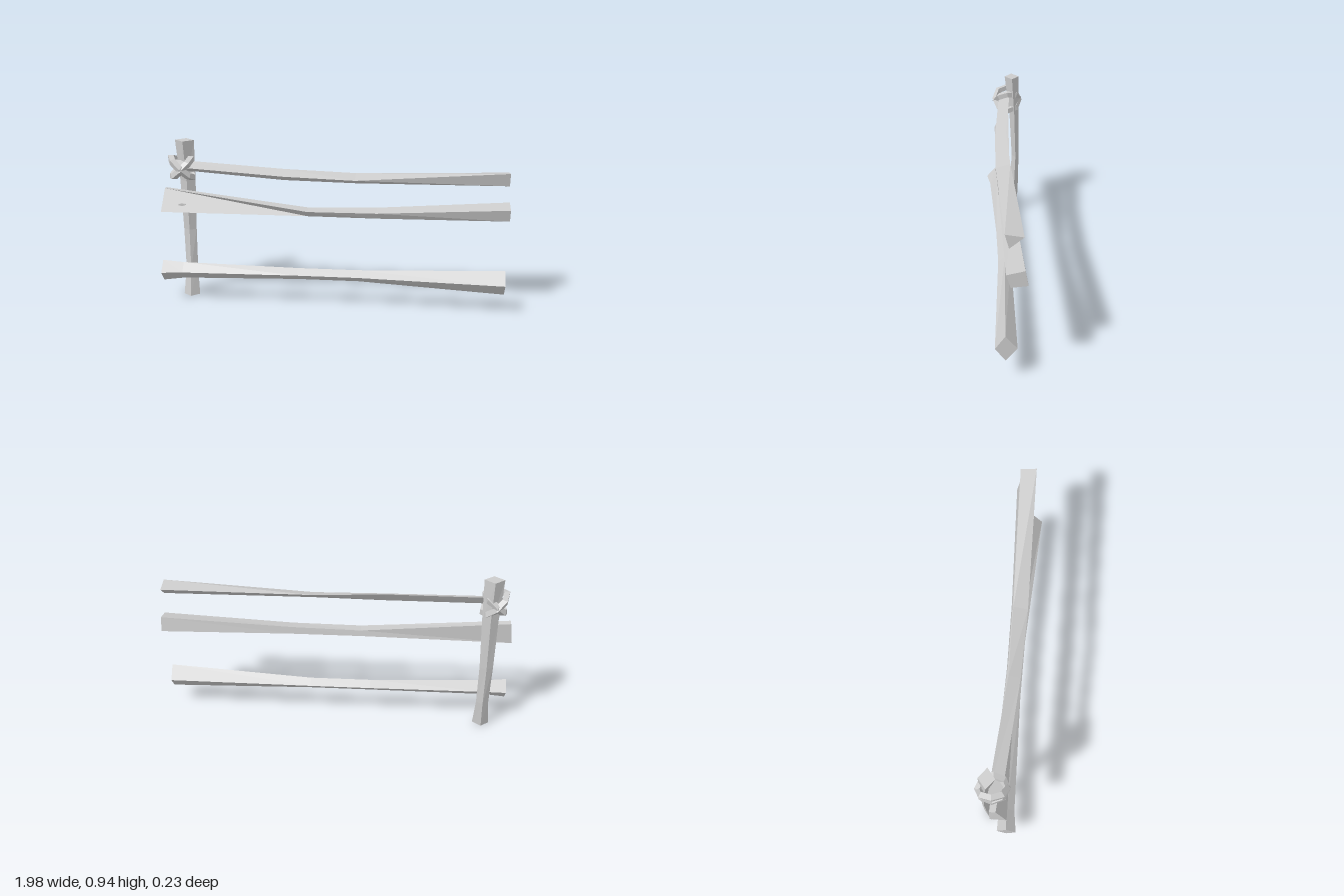
import * as THREE from 'three';

const material = new THREE.MeshStandardMaterial({ color: 0xcccccc, flatShading: true });

// Skin a row of equal-sided cross-sections (each a list of [x, y, z]) and cap both ends
function loft(name, sections) {
  const n = sections[0].length, index = [];
  for (let i = 0; i < sections.length - 1; i++) {
    for (let j = 0; j < n; j++) {
      const a = i * n + j, b = i * n + (j + 1) % n;
      index.push(a, b, b + n, a, b + n, a + n);
    }
  }
  const last = (sections.length - 1) * n;
  for (let j = 1; j < n - 1; j++) {
    index.push(0, j + 1, j);
    index.push(last, last + j, last + j + 1);
  }
  const geometry = new THREE.BufferGeometry();
  geometry.setAttribute('position', new THREE.Float32BufferAttribute(sections.flat(2), 3));
  geometry.setIndex(index);
  geometry.computeVertexNormals();
  const mesh = new THREE.Mesh(geometry, material);
  mesh.name = name;
  return mesh;
}

// A rail runs along x; each station is [x, [y, z], ...] from front top, under, to back
const rail = (name, stations) =>
  loft(name, stations.map(([x, ...corners]) => corners.map(([y, z]) => [x, y, z])));

export function createModel() {
  const group = new THREE.Group();
  group.name = 'brokenFence';

  // Crooked post, square set cornerwise: [y, left x, right x, front z, back z]
  const post = [
    [0, -0.90, -0.805, 0.005, -0.075],
    [0.16, -0.885, -0.815, -0.03, -0.085],
    [0.4, -0.89, -0.815, -0.045, -0.09],
    [0.7, -0.895, -0.805, -0.03, -0.088],
    [0.94, -0.91, -0.80, 0, -0.088],
  ];
  group.add(loft('post', post.map(([y, l, r, f, b]) => {
    const cx = (l + r) / 2, cz = (f + b) / 2;
    return [[l, y, cz], [cx, y, f], [r, y, cz], [cx, y, b]];
  })));

  // Three-sided top rail
  group.add(rail('topRail', [
    [-0.91, [0.80, 0.035], [0.775, -0.005], [0.825, -0.035]],
    [-0.27, [0.772, 0.08], [0.745, 0.05], [0.80, 0.015]],
    [0.13, [0.762, 0.088], [0.742, 0.065], [0.785, 0.008]],
    [0.977, [0.82, 0.072], [0.745, 0.052], [0.803, -0.02]],
  ]));

  // Middle rail, wide at one end
  const middle = rail('middleRail', [
    [-0.98, [0.665, 0.007], [0.54, 0.065], [0.54, -0.025], [0.662, -0.027]],
    [-0.14, [0.567, 0.068], [0.535, 0.045], [0.54, -0.005], [0.573, 0.0]],
    [0.25, [0.57, 0.07], [0.535, 0.05], [0.543, -0.01], [0.583, -0.004]],
    [0.99, [0.61, 0.067], [0.54, 0.045], [0.548, -0.04], [0.63, -0.025]],
  ]);
  // Slant the wide end
  const p = middle.geometry.attributes.position;
  p.setX(1, -0.985);
  p.setX(2, -0.985);
  p.setX(0, -0.97);
  p.setX(3, -0.97);
  group.add(middle);

  // Bottom rail, square set cornerwise: top, front, bottom, back
  group.add(rail('bottomRail', [
    [-0.99, [0.245, 0.06], [0.185, 0.115], [0.122, 0.06], [0.182, 0.008]],
    [-0.87, [0.234, 0.055], [0.185, 0.098], [0.137, 0.055], [0.182, 0.01]],
    [-0.2, [0.217, 0.04], [0.184, 0.078], [0.149, 0.04], [0.182, 0.005]],
    [0.15, [0.217, 0.04], [0.184, 0.078], [0.149, 0.04], [0.182, 0.005]],
    [0.98, [0.255, 0.07], [0.182, 0.122], [0.112, 0.068], [0.182, 0.01]],
  ]));

  // Peg end showing on the middle rail
  const peg = new THREE.Mesh(new THREE.CylinderGeometry(0.012, 0.014, 0.03, 6), material);
  peg.name = 'peg';
  peg.rotation.x = Math.PI / 2;
  peg.scale.set(1.8, 1, 0.6);
  peg.position.set(-0.865, 0.582, 0.036);
  group.add(peg);

  // Crossed rope loops tying the top rail to the post
  const lashing = new THREE.Group();
  lashing.name = 'lashing';
  lashing.position.set(-0.87, 0.785, -0.015);
  [[1, 0.076, 0.95, 0.12], [-1, 0.083, 0.9, -0.12]].forEach(([side, radius, depth, tilt], i) => {
    const geometry = new THREE.TorusGeometry(radius, 0.022, 4, 8);
    geometry.rotateX(Math.PI / 2);
    geometry.scale(1, 1, depth);
    geometry.rotateX(tilt);
    geometry.rotateZ(side * 0.75);
    const loop = new THREE.Mesh(geometry, material);
    loop.name = `ropeLoop${i + 1}`;
    lashing.add(loop);
  });
  group.add(lashing);

  return group;
}
